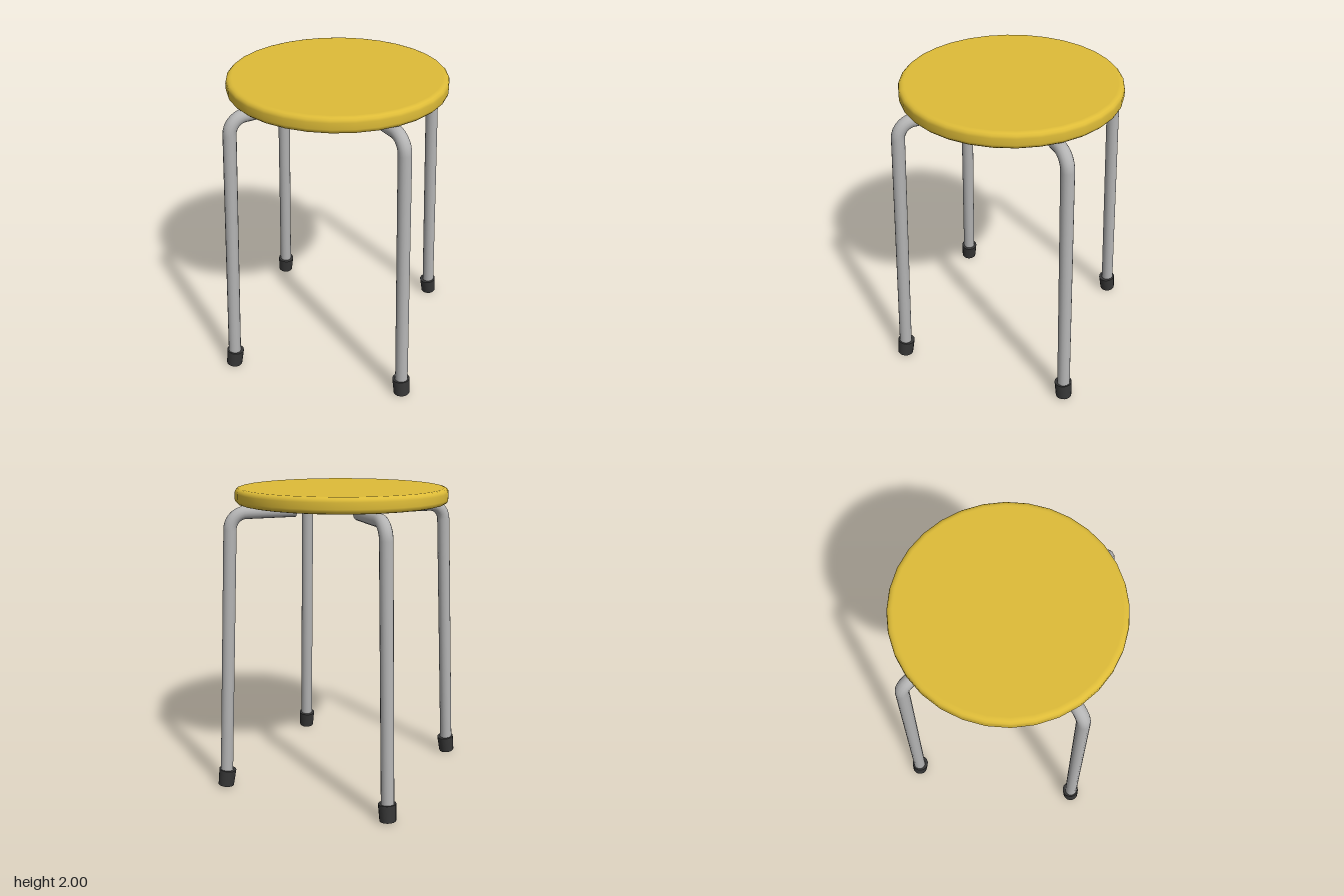
import * as THREE from 'three';

const yellow = new THREE.MeshStandardMaterial({ name: 'seatYellow', color: 0xdebc38 });
const grey = new THREE.MeshStandardMaterial({ name: 'tubeGrey', color: 0xb4b4b4 });
const black = new THREE.MeshStandardMaterial({ name: 'rubberBlack', color: 0x373737 });
const brown = new THREE.MeshStandardMaterial({ name: 'undersideBrown', color: 0x726656 });

const TUBE_R = 0.042;

function addMesh(parent, name, geometry, material) {
  const mesh = new THREE.Mesh(geometry, material);
  mesh.name = name;
  parent.add(mesh);
  return mesh;
}

// Round seat with softened upper and lower edges
function seatGeometry() {
  const R = 0.697, bottom = 1.9, top = 2, r = 0.03;
  const points = [new THREE.Vector2(0, bottom), new THREE.Vector2(R - r - 0.01, bottom)];
  for (const [y, start] of [[bottom + r, -Math.PI / 2], [top - r, 0]]) {
    for (let i = 0; i <= 3; i++) {
      const a = start + (i / 3) * Math.PI / 2;
      points.push(new THREE.Vector2(R - r + r * Math.cos(a), y + r * Math.sin(a)));
    }
  }
  points.push(new THREE.Vector2(R - r - 0.01, top), new THREE.Vector2(0, top));
  return new THREE.LatheGeometry(points, 32);
}

// One bent tube leg with its foot, running outward along +x
function createLeg() {
  const leg = new THREE.Group();
  const inner = new THREE.Vector3(0.32, 1.858, 0);
  const corner = new THREE.Vector3(0.745, 1.858, 0);
  const floor = new THREE.Vector3(0.841, 0.008, 0);
  const down = floor.clone().sub(corner).normalize();
  const bendStart = corner.clone().setX(0.645);
  const bendEnd = corner.clone().addScaledVector(down, 0.1);

  const path = new THREE.CurvePath();
  path.add(new THREE.LineCurve3(inner, bendStart));
  // Circular-looking bend from a cubic curve
  path.add(new THREE.CubicBezierCurve3(
    bendStart, bendStart.clone().lerp(corner, 0.55),
    bendEnd.clone().lerp(corner, 0.55), bendEnd));
  path.add(new THREE.LineCurve3(bendEnd, floor.clone().addScaledVector(down, -0.03)));
  addMesh(leg, 'legTube', new THREE.TubeGeometry(path, 90, TUBE_R, 16), grey);

  // Closed inner end of the tube
  const cap = addMesh(leg, 'tubeEnd', new THREE.CircleGeometry(TUBE_R, 16), grey);
  cap.position.copy(inner);
  cap.rotation.y = -Math.PI / 2;

  // Rubber foot, tapered and splayed a little more than the leg
  const foot = addMesh(leg, 'foot', new THREE.CylinderGeometry(0.058, 0.053, 0.112, 16), black);
  foot.position.set(0.837, 0.064, 0);
  foot.rotation.z = 0.14;
  return leg;
}

export function createModel() {
  const stool = new THREE.Group();
  stool.name = 'stool';

  addMesh(stool, 'seat', seatGeometry(), yellow);
  const underside = addMesh(stool, 'seatUnderside',
    new THREE.CylinderGeometry(0.615, 0.615, 0.006, 32), brown);
  underside.position.y = 1.9;

  // Four legs on the diagonals
  const names = ['backLeftLeg', 'backRightLeg', 'frontRightLeg', 'frontLeftLeg'];
  names.forEach((name, i) => {
    const leg = createLeg();
    leg.name = name;
    leg.rotation.y = Math.PI / 4 + i * Math.PI / 2;
    stool.add(leg);
  });
  return stool;
}
